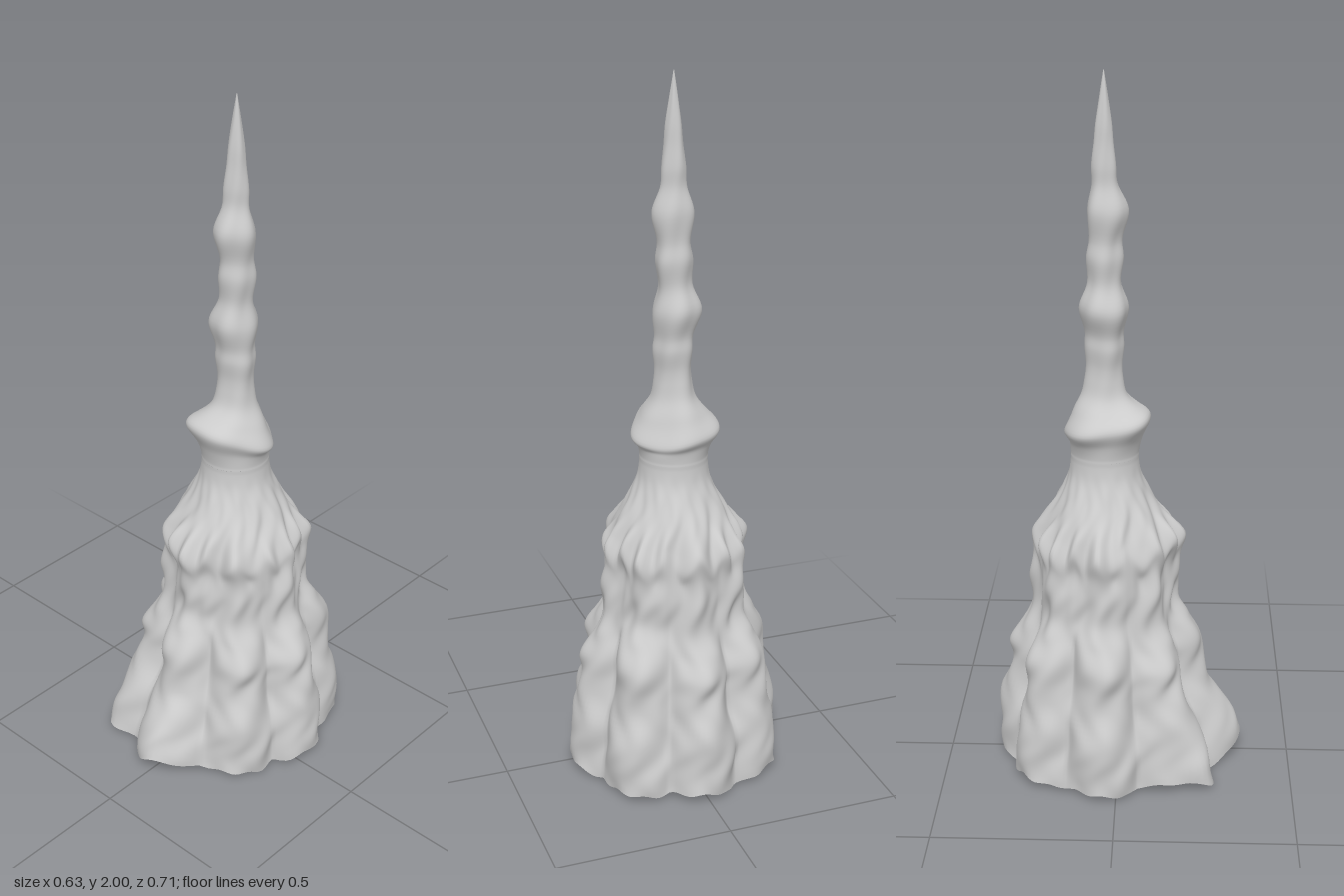
import * as THREE from 'three';

const SIDES = 160;
const AXIS_Z = -0.04;

// Each row: [radius on a lobe crest, height, radius in the groove between lobes]
const SKIRT = [
  [0.312, 0.02, 0.262], [0.312, 0.09, 0.257], [0.308, 0.17, 0.247], [0.287, 0.25, 0.225],
  [0.277, 0.31, 0.215], [0.277, 0.37, 0.21], [0.243, 0.43, 0.198], [0.21, 0.49, 0.188],
  [0.21, 0.57, 0.185], [0.203, 0.63, 0.18], [0.207, 0.68, 0.185], [0.185, 0.725, 0.172],
  [0.15, 0.785, 0.143], [0.12, 0.84, 0.116], [0.102, 0.885, 0.098],
  [0.096, 0.925, 0.096], [0.096, 0.94, 0.096],
];
const SPIRE = [
  [0.096, 0.94], [0.096, 0.95], [0.103, 0.985], [0.121, 1.025], [0.093, 1.07], [0.063, 1.115],
  [0.053, 1.16], [0.05, 1.2], [0.055, 1.25], [0.053, 1.29], [0.067, 1.36], [0.046, 1.43],
  [0.051, 1.5], [0.045, 1.55], [0.056, 1.63], [0.035, 1.7], [0.033, 1.75], [0.026, 1.81],
  [0.022, 1.86], [0.012, 1.93], [0.001, 2],
];

const bell = (v, centre, width) => Math.exp(-(((v - centre) / width) ** 2));

// Closed ring loops swept up a profile; a is the angle from the front toward +x
function sweep(name, profile, rows, place) {
  const curve = new THREE.CatmullRomCurve3(profile.map((p) => new THREE.Vector3(...p)));
  const positions = [];
  const index = [];
  for (let j = 0; j <= rows; j++) {
    const p = curve.getPoint(j / rows);
    for (let i = 0; i < SIDES; i++) {
      const a = (i / SIDES) * Math.PI * 2 - Math.PI;
      const [r, y, dx = 0, dz = 0] = place(a, p);
      positions.push(Math.sin(a) * r + dx, y, Math.cos(a) * r + AXIS_Z + dz);
      if (j < rows) {
        const k = (i + 1) % SIDES;
        const n = j * SIDES;
        index.push(n + i, n + k, n + k + SIDES, n + i, n + k + SIDES, n + i + SIDES);
      }
    }
  }
  const geometry = new THREE.BufferGeometry();
  geometry.setAttribute('position', new THREE.Float32BufferAttribute(positions, 3));
  geometry.setIndex(index);
  geometry.computeVertexNormals();
  const material = new THREE.MeshStandardMaterial({ color: 0xcccccc, side: THREE.DoubleSide });
  const mesh = new THREE.Mesh(geometry, material);
  mesh.name = name;
  return mesh;
}

// Eight rounded lobes with soft grooves, rippled upper tier, ragged open hem
function skirtPoint(a, p) {
  const lobe = Math.min(1, Math.sqrt(Math.cos(4 * a) ** 2 + 0.015)) ** 0.9;
  let r = THREE.MathUtils.lerp(p.z, p.x, lobe);
  // the front lobe and its neighbour flare outward at the hem
  r += (0.086 * bell(a, 0, 0.4) + 0.08 * bell(a, -0.62, 0.21)) * bell(p.y, 0, 0.18);
  // front edge of the shoulder juts out
  r += 0.02 * bell(a, -0.1, 0.5) * bell(p.y, 0.71, 0.06);
  // fine flutes under the shoulder
  const ripple = Math.cos(16 * a + Math.sin(3 * a));
  r += 0.007 * ripple * bell(p.y, 0.64, 0.13);
  // uneven hand-modelled surface
  r += 0.003 * Math.sin(5 * a + p.y * 23) + 0.003 * Math.sin(11 * a - p.y * 37);
  r += 0.003 * Math.sin(19 * a + 2 * Math.sin(p.y * 29));
  // pleats hang at different heights
  const tier = 0.016 * ripple * bell(p.y, 0.68, 0.06) + 0.018 * Math.sin(3 * a + 1) * bell(p.y, 0.42, 0.1);
  const hem = 0.05 * bell(a, 0.12, 0.22) + 0.009 * Math.sin(8 * a + 2) + 0.007 * Math.sin(5 * a)
    + 0.004 * Math.sin(23 * a) - 0.004;
  const y = p.y + tier + hem * Math.max(0, 1 - p.y / 0.25);
  const fade = THREE.MathUtils.smoothstep(p.y, 0.76, 0.925);
  return [THREE.MathUtils.lerp(r, p.x, fade), Math.max(0, y)];
}

// Beaded needle with a collar tipped toward the back, slightly out of true
function spirePoint(a, p) {
  const grow = THREE.MathUtils.smoothstep(p.y, 0.94, 1.03);
  const wobble = 1 + grow * (0.04 * Math.sin(3 * a + p.y * 9) + 0.03 * Math.sin(5 * a - p.y * 19));
  const tilt = grow * 0.06 * Math.sin(a * 2 + 1) * p.x + 0.026 * Math.cos(a + 0.5) * bell(p.y, 1.03, 0.045);
  const dx = -0.008 * bell(p.y, 1.03, 0.05) - 0.009 * bell(p.y, 1.37, 0.06);
  const dz = 0.008 * bell(p.y, 1.63, 0.06) + 0.01 * bell(p.y, 1.04, 0.05);
  return [p.x * wobble, Math.min(2, p.y + tilt), dx, dz];
}

export function createModel() {
  const model = new THREE.Group();
  model.name = 'fluted spire';
  model.add(sweep('lobedSkirt', SKIRT, 96, skirtPoint));
  model.add(sweep('beadedSpire', SPIRE.map(([r, y]) => [r, y, 0]), 114, spirePoint));
  return model;
}
